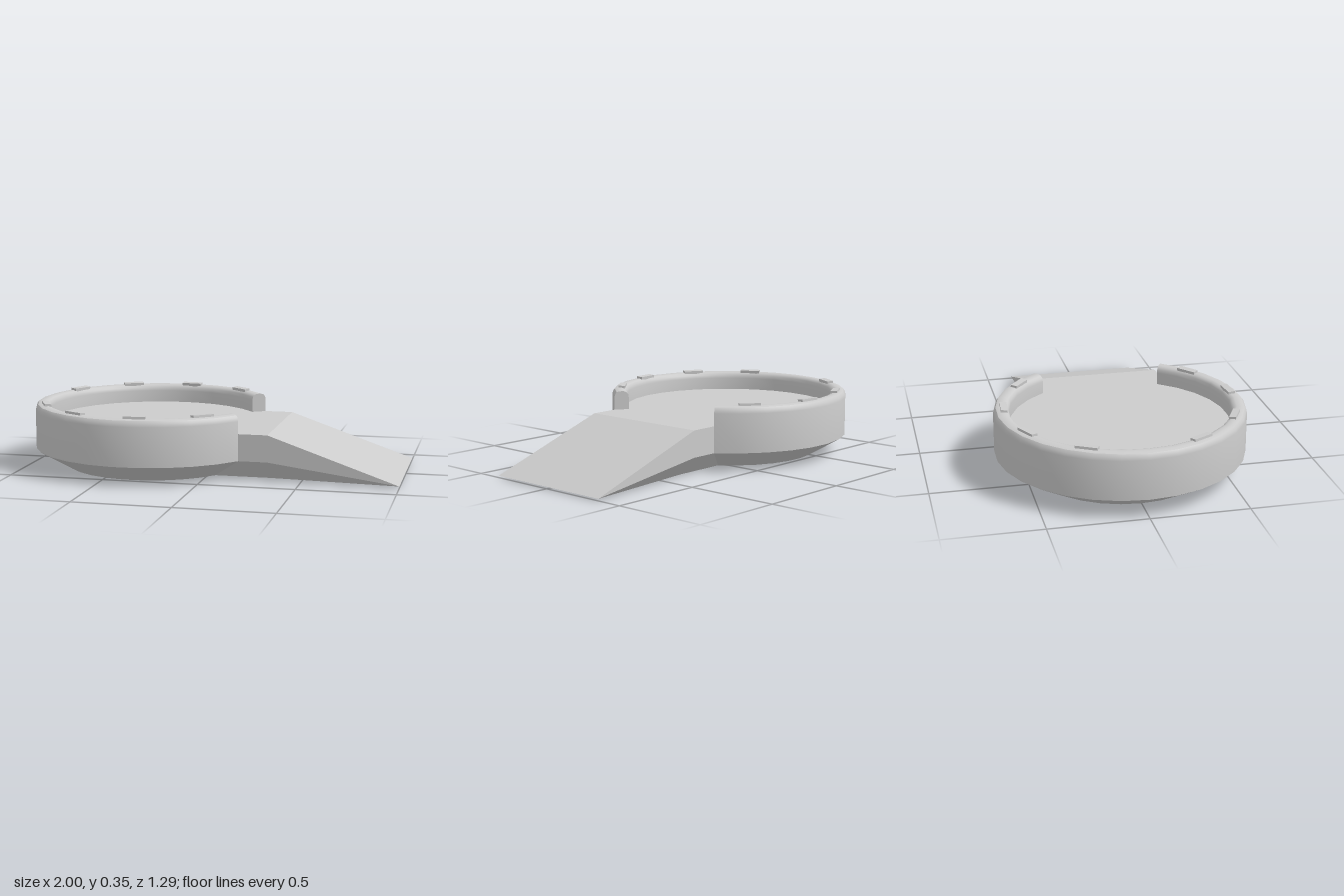
import * as THREE from 'three';
import { toCreasedNormals } from 'three/addons/utils/BufferGeometryUtils.js';

const CX = -0.355;            // centre of the round basin
const R = 0.645;              // outer radius
const FLOOR = 0.24;
const GAP = THREE.MathUtils.degToRad(34);   // half angle of the opening
const ARC = Math.PI * 2 - GAP * 2;
const SEGMENTS = 24;

const mat = new THREE.MeshStandardMaterial({ color: 0xcccccc, side: THREE.DoubleSide });
const flatMat = new THREE.MeshStandardMaterial({ color: 0xcccccc, side: THREE.DoubleSide, flatShading: true });

function add(parent, name, geometry, material = mat) {
  const mesh = new THREE.Mesh(geometry, material);
  mesh.name = name;
  parent.add(mesh);
  return mesh;
}

// Fans each polygon (list of corners) into triangles
function polygons(list) {
  const pos = [];
  for (const p of list) {
    for (let i = 1; i < p.length - 1; i++) pos.push(...p[0], ...p[i], ...p[i + 1]);
  }
  const g = new THREE.BufferGeometry();
  g.setAttribute('position', new THREE.Float32BufferAttribute(pos, 3));
  g.computeVertexNormals();
  return g;
}

export function createModel() {
  const model = new THREE.Group();
  model.name = 'basinWithRamp';

  const basin = new THREE.Group();
  basin.name = 'basin';
  basin.position.x = CX;
  model.add(basin);

  // Rounded rim section, from the outer wall over the top to the floor
  const rim = [
    [R, 0.305], [0.641, 0.323], [0.632, 0.335], [0.617, 0.34],
    [0.593, 0.34], [0.578, 0.335], [0.568, 0.323], [0.565, 0.305], [0.565, FLOOR],
  ];
  const profile = [[0.475, 0], [R, 0.1], ...rim].map(([r, y]) => new THREE.Vector2(r, y));
  const wall = new THREE.LatheGeometry(profile, SEGMENTS, Math.PI / 2 + GAP, ARC);
  add(basin, 'wall', toCreasedNormals(wall, 0.6));

  // Flat ends of the rim at the opening
  const endShape = new THREE.Shape([[R, FLOOR], ...rim].map(([r, y]) => new THREE.Vector2(r, y)));
  for (const s of [1, -1]) {
    add(basin, 'rimEnd', new THREE.ShapeGeometry(endShape)).rotation.y = -s * GAP;
  }

  // Raised pads along the rim
  for (const s of [1, -1]) {
    for (let i = 0; i < 4; i++) {
      const a = s * THREE.MathUtils.degToRad(51 + i * 33.6);
      const pivot = new THREE.Group();
      pivot.name = 'rimPad';
      pivot.rotation.y = -a;
      basin.add(pivot);
      const pad = add(pivot, 'pad', new THREE.BoxGeometry(0.035, 0.03, 0.112));
      pad.position.set(0.592, 0.336, 0);
      pad.rotation.z = 0.08;
    }
  }

  // Floor: round basin running straight out to the head of the ramp
  const HW = R * Math.sin(GAP);   // half width of the ramp
  const RX = 0.33;                // head of the slope
  const outline = [];
  for (let i = 0; i <= SEGMENTS; i++) {
    const a = GAP + (ARC * i) / SEGMENTS;
    outline.push(new THREE.Vector2(CX + R * Math.cos(a), R * Math.sin(a)));
  }
  outline.push(new THREE.Vector2(RX, -HW), new THREE.Vector2(RX, HW));
  const floor = add(model, 'floor', new THREE.ShapeGeometry(new THREE.Shape(outline)).rotateX(-Math.PI / 2));
  floor.position.y = FLOOR;

  // Ramp slope
  add(model, 'rampSlope', polygons([
    [[RX, FLOOR, HW], [1, 0.01, HW], [1, 0.01, -HW], [RX, FLOOR, -HW]],
  ]), flatMat);

  // Ramp sides with an inward bevel below; the underside stays open
  const x0 = CX + R * Math.cos(GAP), xb = CX + 0.475 * Math.cos(GAP), zb = 0.475 * Math.sin(GAP);
  for (const s of [1, -1]) {
    const tip = [1, 0.01, HW];
    const faces = [
      [[x0, 0.1, HW], [RX, 0.1, HW], [RX, FLOOR, HW], [x0, FLOOR, HW]],
      [[RX, 0.1, HW], tip, [RX, FLOOR, HW]],
      [[xb, 0, zb], [RX, 0, zb], [RX, 0.1, HW], [x0, 0.1, HW]],
      [[RX, 0, zb], tip, [RX, 0.1, HW]],
    ].map((f) => {
      const p = f.map(([x, y, z]) => [x, y, z * s]);
      return s > 0 ? p : p.reverse();
    });
    add(model, s > 0 ? 'rampSideFront' : 'rampSideBack', polygons(faces), flatMat);
  }

  return model;
}
